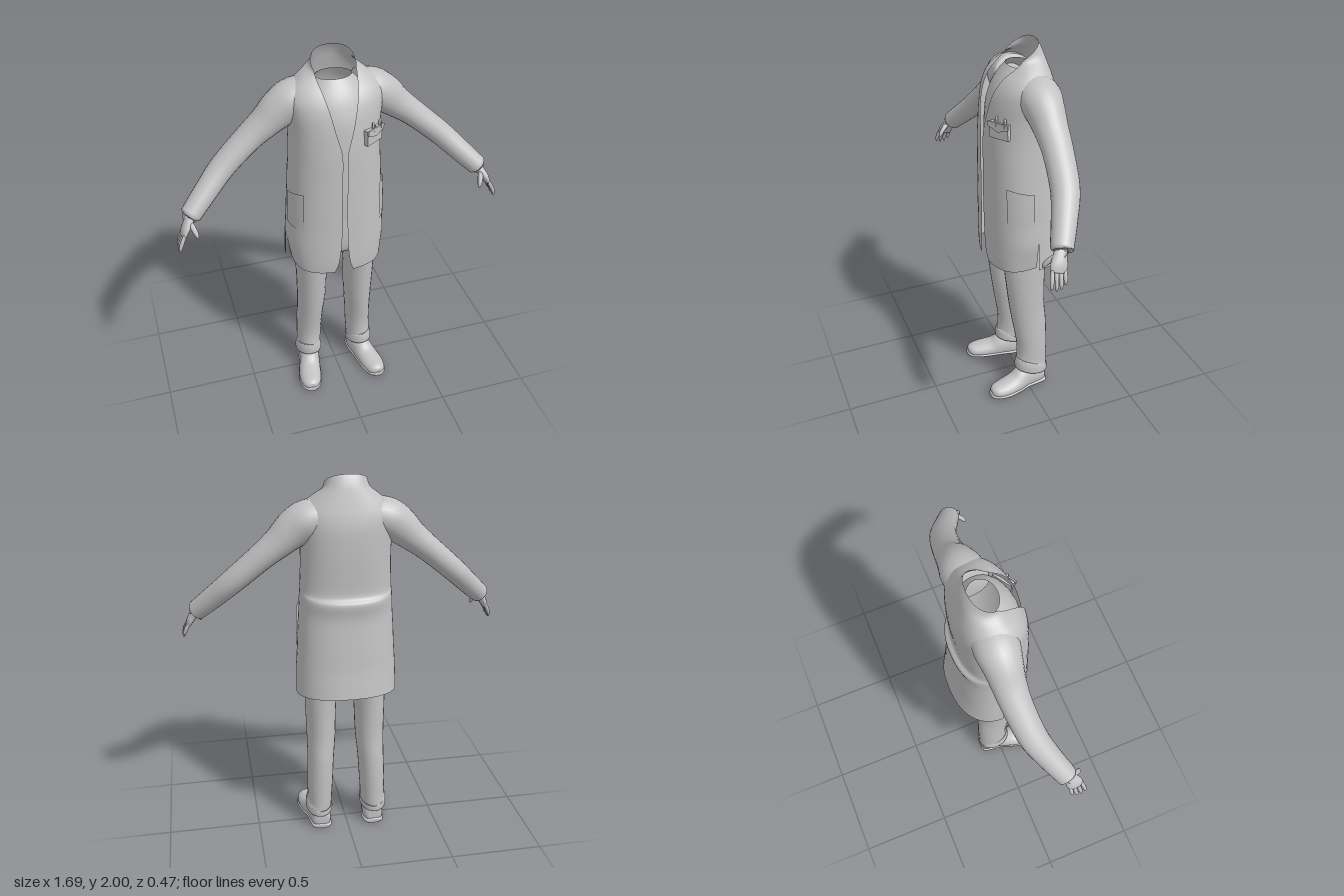
import * as THREE from 'three';
import { mergeGeometries, mergeVertices } from 'three/addons/utils/BufferGeometryUtils.js';

const gray = new THREE.MeshStandardMaterial({ color: 0xc2c2c2, side: THREE.DoubleSide });
gray.name = 'light gray';

// Smooth interpolation through a table of rows, t from 0 to 1
function sample(rows, t) {
  const f = t * (rows.length - 1), i = Math.min(Math.floor(f), rows.length - 2), k = f - i;
  const r = (j) => rows[Math.max(0, Math.min(rows.length - 1, j))];
  return r(i).map((b, n) => {
    const a = r(i - 1)[n], c = r(i + 1)[n], d = r(i + 2)[n];
    return b + 0.5 * k * (c - a + k * (2 * a - 5 * b + 4 * c - d + k * (3 * (b - c) + d - a)));
  });
}

// Sheet of quads from a function of (u, v)
function sheet(nu, nv, fn) {
  const pos = [], idx = [];
  for (let j = 0; j <= nv; j++) for (let i = 0; i <= nu; i++) pos.push(...fn(i / nu, j / nv));
  for (let j = 0; j < nv; j++) for (let i = 0; i < nu; i++) {
    const a = j * (nu + 1) + i, b = a + 1, c = a + nu + 1, d = c + 1;
    idx.push(a, b, d, a, d, c);
  }
  const g = new THREE.BufferGeometry();
  g.setAttribute('position', new THREE.Float32BufferAttribute(pos, 3));
  g.setIndex(idx);
  return g;
}

function weld(parts) {
  const g = mergeVertices(mergeGeometries(parts), 1e-5);
  g.computeVertexNormals();
  return g;
}

// Limb through rows of [x, y, z, side radius, depth radius]; closed ends unless open
function limb(rows, n = 20, { open = false, floor = -1, steps = 4 } = {}) {
  const nv = (rows.length - 1) * steps, P = (t) => new THREE.Vector3(...sample(rows, t).slice(0, 3));
  const ring = (u, t, s) => {
    const [x, y, z, ra, rb] = sample(rows, t);
    const dir = P(Math.min(1, t + 0.02)).sub(P(Math.max(0, t - 0.02))).normalize();
    const b = Math.abs(dir.z) > 0.8 ? new THREE.Vector3(0, 1, 0) : new THREE.Vector3(0, 0, 1);
    b.addScaledVector(dir, -b.dot(dir)).normalize();
    const a = new THREE.Vector3().crossVectors(b, dir).normalize(), w = -u * Math.PI * 2;
    const p = new THREE.Vector3(x, y, z).addScaledVector(a, ra * s * Math.cos(w)).addScaledVector(b, rb * s * Math.sin(w));
    return [p.x, Math.max(floor, p.y), p.z];
  };
  const parts = [sheet(n, nv, (u, v) => ring(u, v, 1))];
  if (!open) parts.push(sheet(n, 1, (u, v) => ring(u, 0, v)), sheet(n, 1, (u, v) => ring(u, 1, 1 - v)));
  return weld(parts);
}

// Coat rows: [height, half width, front z, back z, half opening, tilt along z]
const COAT = [
  [0.838, 0.268, 0.18, -0.23, 0.05, -0.1], [0.9, 0.266, 0.185, -0.222, 0.03, -0.08],
  [1.0, 0.262, 0.186, -0.21, 0.018, -0.03], [1.1, 0.255, 0.186, -0.203, 0.014, 0],
  [1.2, 0.25, 0.186, -0.195, 0.012, 0.05], [1.31, 0.243, 0.185, -0.189, 0.012, 0.13],
  [1.395, 0.238, 0.184, -0.2, 0.012, 0.15], [1.425, 0.236, 0.184, -0.173, 0.012, 0.14],
  [1.5, 0.232, 0.183, -0.174, 0.012, 0.05], [1.57, 0.23, 0.18, -0.178, 0.018, 0],
  [1.66, 0.232, 0.172, -0.18, 0.042, 0], [1.74, 0.24, 0.158, -0.178, 0.06, 0],
  [1.8, 0.24, 0.135, -0.168, 0.075, 0], [1.85, 0.21, 0.1, -0.155, 0.088, 0],
  [1.89, 0.16, 0.06, -0.14, 0.098, -0.1], [1.915, 0.118, 0.05, -0.125, 0.102, -0.3],
  [1.933, 0.108, 0.055, -0.1, 0.103, -0.67],
];
const POW = 0.85, MID = -0.02;
function coatPoint(angle, row, grow = 0, frontPanel = false) {
  const [y, w, zf, zb, , tilt] = row, s = Math.sin(angle), c = Math.cos(angle);
  let x = Math.sign(s) * Math.abs(s) ** POW * (w + grow);
  // front panels tuck in at the side slits
  if (frontPanel) x *= 1 - 0.1 * Math.max(0, (0.98 - y) / 0.14) * s ** 4;
  const z = MID + Math.abs(c) ** POW * (c > 0 ? zf + grow - MID : zb - grow - MID);
  return [x, y + tilt * z, z];
}
const edge = (row) => Math.asin(Math.min(1, row[4] / row[1]) ** (1 / POW));

function coatBody() {
  const H = Math.PI / 2, nv = 64;
  const front = (side) => sheet(14, nv, (u, v) => {
    const row = sample(COAT, v), a0 = edge(row), k = side > 0 ? u : 1 - u;
    return coatPoint(side * (a0 + (H - a0) * k), row, 0, true);
  });
  const back = sheet(28, nv, (u, v) => coatPoint(H + Math.PI * u, sample(COAT, v)));
  return weld([front(1), back, front(-1)]);
}

export function createModel() {
  const model = new THREE.Group();
  const add = (parent, name, geometry) => {
    const m = new THREE.Mesh(geometry, gray);
    m.name = name;
    parent.add(m);
    return m;
  };

  add(model, 'coat', coatBody());
  add(model, 'shirt', limb([
    [0, 1.1, 0, 0.2, 0.14], [0, 1.3, 0, 0.2, 0.155], [0, 1.6, 0, 0.19, 0.155],
    [0, 1.72, -0.01, 0.18, 0.145], [0, 1.81, -0.02, 0.15, 0.115], [0, 1.88, -0.025, 0.09, 0.072],
  ], 28, { open: true }));
  add(model, 'trouserSeat', limb([
    [0, 0.87, 0, 0.12, 0.08], [0, 0.92, 0, 0.2, 0.125], [0, 1.05, 0, 0.215, 0.14], [0, 1.2, 0, 0.2, 0.14],
  ], 24));

  // Chest pocket with flap and two pens
  const chest = new THREE.Group();
  chest.name = 'chestPocket';
  chest.position.set(0.15, 1.615, 0.142);
  chest.rotation.set(0, 0.57, 0);
  model.add(chest);
  add(chest, 'pocketPouch', new THREE.BoxGeometry(0.11, 0.08, 0.03));
  const flapShape = new THREE.Shape([[-0.06, 0.025], [0.06, 0.025], [0.06, 0], [0, -0.022], [-0.06, 0]]
    .map(([x, y]) => new THREE.Vector2(x, y)));
  const flap = add(chest, 'pocketFlap', new THREE.ExtrudeGeometry(flapShape, { depth: 0.008, bevelEnabled: false }));
  flap.position.set(0, 0.02, 0.014);
  for (const x of [-0.012, 0.038]) {
    const pen = add(chest, 'pen', new THREE.CapsuleGeometry(0.007, 0.05, 4, 8));
    pen.position.set(x, 0.042, 0.012);
    add(chest, 'penClip', new THREE.BoxGeometry(0.005, 0.035, 0.005)).position.set(x, 0.045, 0.021);
  }

  // Everything paired is shaped for the left and mirrored
  const arm = limb([
    [0.12, 1.79, -0.04, 0.09, 0.1], [0.2, 1.77, -0.04, 0.1, 0.108], [0.27, 1.725, -0.04, 0.095, 0.095],
    [0.34, 1.665, -0.04, 0.078, 0.083], [0.43, 1.592, -0.035, 0.067, 0.075], [0.565, 1.475, -0.01, 0.062, 0.07],
    [0.66, 1.385, 0.035, 0.058, 0.062], [0.745, 1.305, 0.083, 0.053, 0.055], [0.76, 1.291, 0.092, 0.05, 0.052],
    [0.762, 1.289, 0.093, 0.036, 0.04],
  ], 24);
  const palm = limb([
    [0.745, 1.305, 0.083, 0.022, 0.03], [0.772, 1.27, 0.105, 0.022, 0.033],
    [0.795, 1.235, 0.12, 0.02, 0.042], [0.808, 1.205, 0.13, 0.014, 0.038],
  ], 16);
  const fingers = [-0.028, -0.009, 0.01, 0.029].map((d, i) => {
    const l = [0.8, 0.97, 1, 0.9][i];
    return limb([
      [0.802, 1.222, 0.125 + d, 0.01, 0.01], [0.802 + 0.022 * l, 1.222 - 0.04 * l, 0.131 + d * 1.15, 0.0105, 0.0105],
      [0.802 + 0.034 * l, 1.222 - 0.07 * l, 0.135 + d * 1.2, 0.009, 0.009],
      [0.802 + 0.036 * l, 1.222 - 0.09 * l, 0.137 + d * 1.2, 0.004, 0.004],
    ], 8);
  });
  const thumb = limb([
    [0.77, 1.27, 0.12, 0.014, 0.014], [0.757, 1.245, 0.15, 0.014, 0.013],
    [0.748, 1.222, 0.168, 0.011, 0.011], [0.744, 1.205, 0.174, 0.005, 0.005],
  ], 8);
  const leg = limb([
    [0.155, 0.1, -0.03, 0.066, 0.085], [0.155, 0.108, -0.03, 0.075, 0.095], [0.155, 0.145, -0.03, 0.073, 0.094],
    [0.152, 0.17, -0.033, 0.068, 0.087], [0.148, 0.28, -0.035, 0.071, 0.086], [0.142, 0.42, -0.024, 0.073, 0.095],
    [0.136, 0.56, -0.008, 0.079, 0.1], [0.133, 0.8, 0.004, 0.087, 0.115], [0.115, 0.95, 0.005, 0.105, 0.125],
    [0.11, 1.08, 0, 0.1, 0.13],
  ], 24);
  // trouser hems dip toward the heel
  const p = leg.attributes.position;
  for (let i = 0; i < p.count; i++) if (p.getY(i) < 0.2) p.setY(i, p.getY(i) + (p.getZ(i) + 0.03) * 0.22);
  leg.computeVertexNormals();
  const shoe = limb([
    [0.15, 0.05, -0.11, 0.03, 0.04], [0.15, 0.05, -0.095, 0.05, 0.06], [0.152, 0.05, -0.04, 0.058, 0.085],
    [0.162, 0.05, 0.02, 0.058, 0.078], [0.178, 0.035, 0.08, 0.062, 0.056], [0.193, 0.03, 0.15, 0.062, 0.044],
    [0.2, 0.03, 0.205, 0.048, 0.034], [0.202, 0.03, 0.228, 0.022, 0.02],
  ], 20, { floor: 0.004 });
  const sole = limb([
    [0.15, 0.012, -0.115, 0.03, 0.012], [0.15, 0.012, -0.1, 0.054, 0.02], [0.152, 0.012, -0.04, 0.062, 0.022],
    [0.162, 0.012, 0.02, 0.06, 0.02], [0.178, 0.012, 0.08, 0.066, 0.02], [0.193, 0.012, 0.15, 0.067, 0.02],
    [0.201, 0.012, 0.21, 0.05, 0.018], [0.203, 0.012, 0.235, 0.022, 0.012],
  ], 20, { floor: 0 });
  const last = COAT.length - 1;
  const hipPocket = weld([sheet(8, 8, (u, v) =>
    coatPoint(0.85 + 0.65 * u, sample(COAT, (2.9 + 2 * v - 0.15 * u * v) / last), 0.004 + 0.006 * v))]);

  for (const [name, s] of [['left', 1], ['right', -1]]) {
    const side = new THREE.Group();
    side.name = name + 'Side';
    side.scale.x = s;
    model.add(side);
    add(side, 'sleeve', arm);
    add(side, 'palm', palm);
    fingers.forEach((f) => add(side, 'finger', f));
    add(side, 'thumb', thumb);
    add(side, 'trouserLeg', leg);
    add(side, 'shoe', shoe);
    add(side, 'shoeSole', sole);
    add(side, 'hipPocket', hipPocket);
  }
  return model;
}
